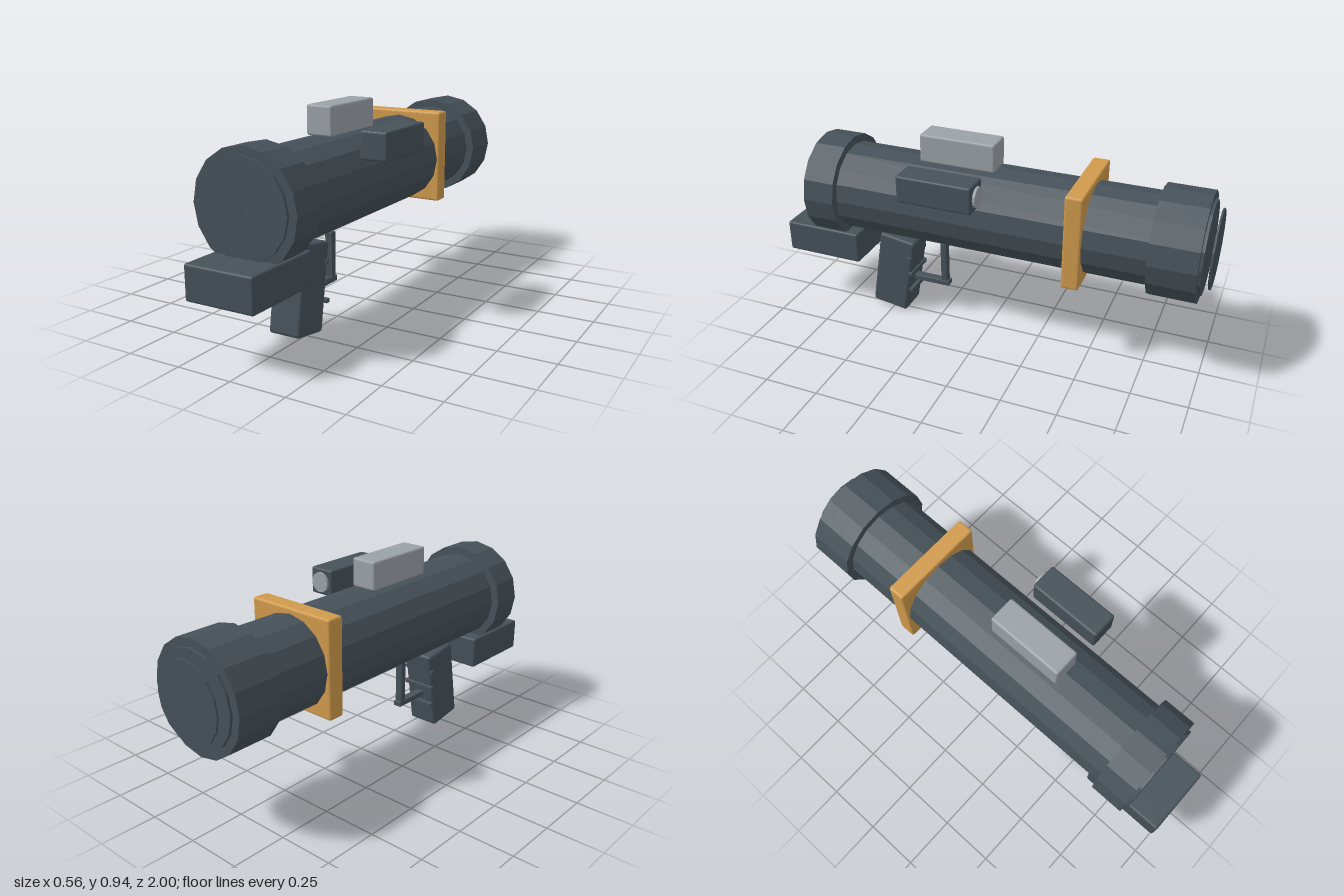
import * as THREE from 'three';
import { RoundedBoxGeometry } from 'three/addons/geometries/RoundedBoxGeometry.js';

const AXIS_X = -0.038, AXIS_Y = 0.62;

export function createModel() {
  const model = new THREE.Group();
  model.name = 'launcher';

  const material = (name, color, flatShading = false) => {
    const m = new THREE.MeshStandardMaterial({ color, flatShading });
    m.name = name;
    return m;
  };
  const dark = material('dark slate', 0x465159, true);
  const ochre = material('ochre', 0xd09a4c, true);
  const grey = material('light grey', 0x9aa1a7, true);

  const add = (name, geometry, mat) => {
    const mesh = new THREE.Mesh(geometry, mat);
    mesh.name = name;
    model.add(mesh);
    return mesh;
  };

  // Cylinder lying along z between two depths
  const barrel = (name, r, z0, z1, mat, x = AXIS_X, y = AXIS_Y) => {
    const g = new THREE.CylinderGeometry(r, r, Math.abs(z1 - z0), 16);
    g.rotateX(Math.PI / 2);
    add(name, g, mat).position.set(x, y, (z0 + z1) / 2);
  };

  // Softly rounded block given by its limits on each axis
  const block = (name, [x0, x1], [y0, y1], [z0, z1], mat, r = 0.01) => {
    const g = new RoundedBoxGeometry(x1 - x0, y1 - y0, z1 - z0, 2, r);
    const mesh = add(name, g, mat);
    mesh.position.set((x0 + x1) / 2, (y0 + y1) / 2, (z0 + z1) / 2);
    return mesh;
  };

  // Main tube with its collars and rear disc
  barrel('tube', 0.205, -0.967, 0.848, dark);
  barrel('frontCollar', 0.241, 0.685, 0.835, dark);
  barrel('rearCollar', 0.241, -0.955, -0.752, dark);
  barrel('rearDisc', 0.173, -1, -0.992, dark);

  // Square band around the tube
  block('squareBand', [-0.255, 0.177], [0.416, 0.848], [-0.473, -0.395], ochre);

  // Top rail block, side sight and its lens
  block('topBlock', [-0.101, 0.023], [0.82, 0.95], [-0.032, 0.322], grey);
  block('sightBody', [0.154, 0.278], [0.737, 0.86], [-0.028, 0.315], dark);
  barrel('sightLens', 0.046, -0.04, -0.02, grey, 0.216, 0.798);

  // Front housing below the muzzle
  block('frontHousing', [-0.198, 0.12], [0.283, 0.432], [0.622, 1], dark);

  // Slanted pistol grip
  const grip = block('grip', [-0.115, 0.037], [0.018, 0.408], [0.395, 0.575], dark, 0.014);
  grip.rotation.x = -0.16;

  // Finger ridges across the back of the grip
  for (const y of [0.135, 0.224, 0.308]) {
    block('gripRidge', [-0.121, 0.044], [y - 0.01, y + 0.01], [0.381, 0.401], dark, 0.003);
  }

  // Trigger guard: horizontal bar and upright
  block('guardBar', [-0.058, -0.018], [0.165, 0.19], [0.218, 0.42], dark, 0.003);
  block('guardUpright', [-0.056, -0.02], [0.17, 0.392], [0.227, 0.257], dark, 0.003);

  return model;
}
